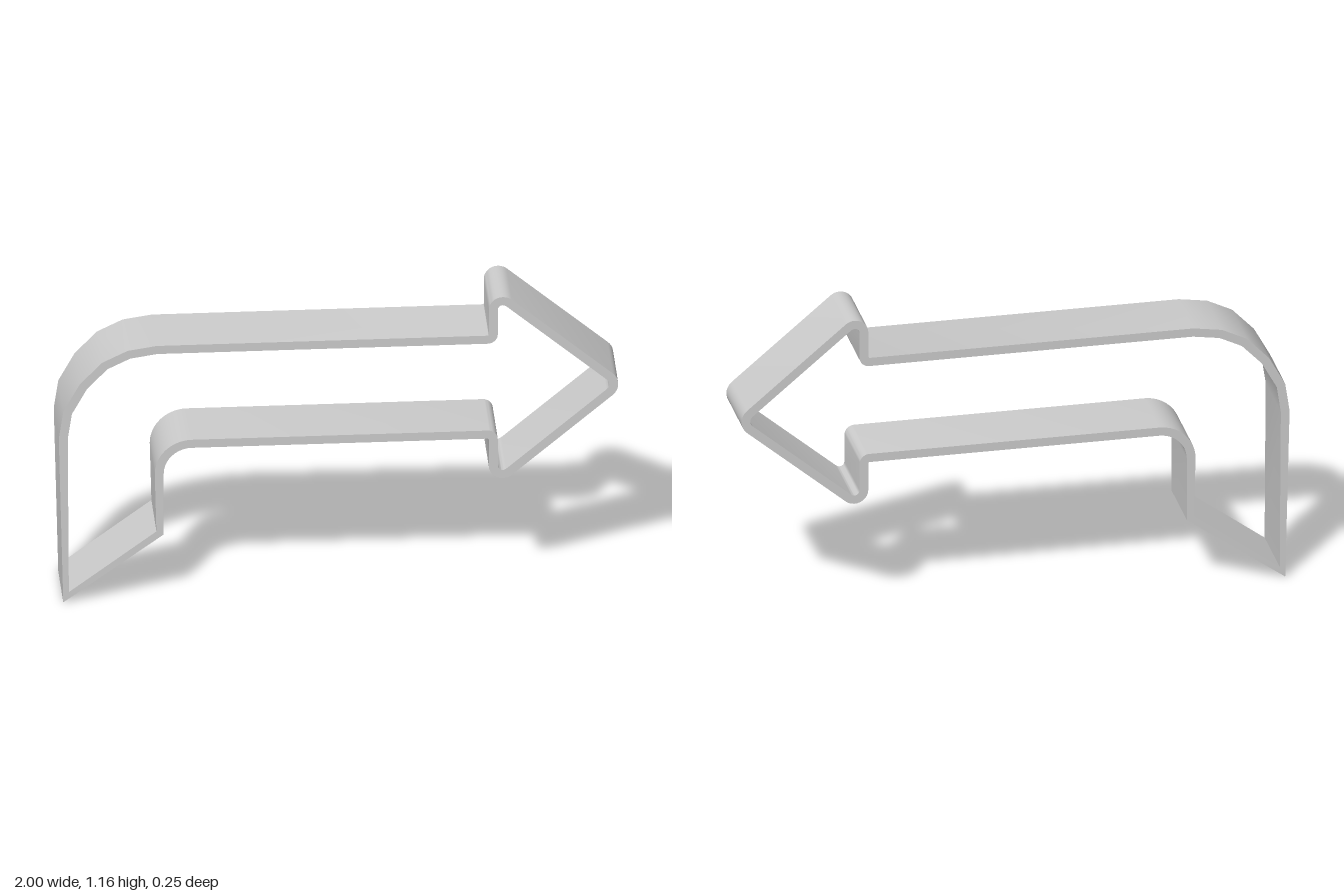
import * as THREE from 'three';
import { toCreasedNormals } from 'three/addons/utils/BufferGeometryUtils.js';

const DEPTH = 0.255;
const WALL = 0.032;

// Outer outline, clockwise: [x, y, corner radius, wall thickness]
const CORNERS = [
  // pointed tail and faceted outer bend
  [-0.984, 0, 0, 0.021],
  [-1, 0.65], [-0.984, 0.757], [-0.925, 0.864], [-0.845, 0.947], [-0.754, 0.991], [-0.65, 1.007],
  // arrowhead
  [0.537, 1.007, 0.004], [0.537, 1.216, 0.05],
  [1.031, 0.799, 0.057],
  [0.537, 0.382, 0.05], [0.537, 0.598, 0.004],
  // inner bend and lower edge of the tail
  [-0.625, 0.598, 0.1],
  [-0.625, 0.257, 0, 0.026],
];

// Replace each rounded corner by points on its tangent arc
function roundCorners(corners, segments = 10) {
  const out = [];
  corners.forEach(([x, y, r = 0, t = WALL], i) => {
    const n = corners.length;
    const p = new THREE.Vector2(x, y);
    if (!r) { out.push({ p, t }); return; }
    const toCorner = (c) => new THREE.Vector2(c[0], c[1]).sub(p).normalize();
    const a = toCorner(corners[(i + n - 1) % n]);
    const b = toCorner(corners[(i + 1) % n]);
    const half = Math.acos(a.dot(b)) / 2;
    const centre = a.clone().add(b).normalize().multiplyScalar(r / Math.sin(half)).add(p);
    const start = a.multiplyScalar(r / Math.tan(half)).add(p).sub(centre);
    const turn = (Math.PI - 2 * half) * Math.sign(start.cross(p.clone().sub(centre)));
    for (let k = 0; k <= segments; k++) {
      const q = start.clone().rotateAround(new THREE.Vector2(), turn * k / segments);
      out.push({ p: q.add(centre), t });
    }
  });
  return out;
}

// Mitred inward offset of a clockwise outline
function offsetInward(points) {
  const n = points.length;
  const normal = (from, to) => {
    const d = to.p.clone().sub(from.p).normalize();
    return new THREE.Vector2(d.y, -d.x);
  };
  return points.map((pt, i) => {
    const n1 = normal(points[(i + n - 1) % n], pt);
    const n2 = normal(pt, points[(i + 1) % n]);
    return n1.clone().add(n2).multiplyScalar(pt.t / (1 + n1.dot(n2))).add(pt.p);
  });
}

export function createModel() {
  const group = new THREE.Group();
  group.name = 'bentArrowCutter';

  // Thin closed wall following the arrow outline; the hole winds the other way
  const outline = roundCorners(CORNERS);
  const shape = new THREE.Shape(outline.map((o) => o.p));
  shape.holes.push(new THREE.Path(offsetInward(outline).reverse()));
  const extruded = new THREE.ExtrudeGeometry(shape, { depth: DEPTH, bevelEnabled: false });
  extruded.translate(0, 0, -DEPTH / 2);

  const wall = new THREE.Mesh(
    toCreasedNormals(extruded, 0.5),
    new THREE.MeshStandardMaterial({ color: 0xcccccc }),
  );
  wall.name = 'arrowWall';
  group.add(wall);
  return group;
}
